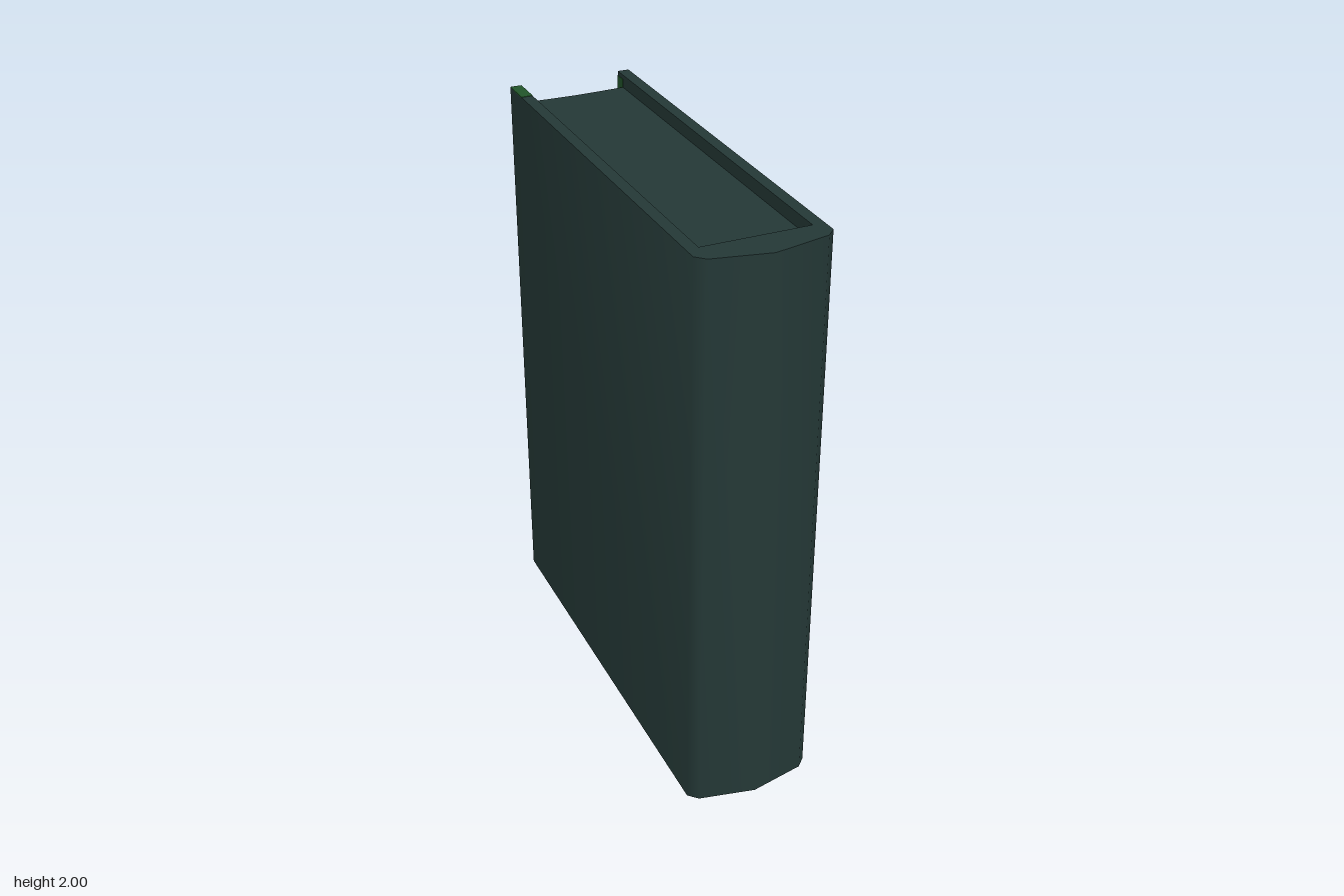
import * as THREE from 'three';
import { toCreasedNormals } from 'three/addons/utils/BufferGeometryUtils.js';

// Extrudes an outline of [x, z] points upwards from y0 to y1
function prism(points, y0, y1) {
  const shape = new THREE.Shape(points.map(([x, z]) => new THREE.Vector2(x, -z)));
  const geometry = new THREE.ExtrudeGeometry(shape, { depth: y1 - y0, bevelEnabled: false });
  geometry.rotateX(-Math.PI / 2).translate(0, y0, 0);
  return toCreasedNormals(geometry, THREE.MathUtils.degToRad(50));
}

export function createModel() {
  const book = new THREE.Group();
  book.name = 'book';

  const darkTeal = new THREE.MeshStandardMaterial({ color: 0x243836 });
  darkTeal.name = 'dark teal';
  const green = new THREE.MeshStandardMaterial({ color: 0x22552a });
  green.name = 'green';

  const add = (name, geometry, material) => {
    const mesh = new THREE.Mesh(geometry, material);
    mesh.name = name;
    book.add(mesh);
    return mesh;
  };

  // Both boards and the pointed spine, as one U-shaped outline
  const half = [[0.19, 0.73], [0.22, 0.7], [0.22, -0.77], [0.18, -0.77], [0.18, 0.65]];
  const mirrored = half.map(([x, z]) => [-x, z]).reverse();
  add('cover', prism([[0, 0.77], ...half, ...mirrored], 0, 2), darkTeal);

  // Page block, recessed at top and bottom, with a hollow fore edge
  add('pages', prism([
    [0.18, 0.65], [0.18, -0.727], [0.09, -0.723], [0, -0.72],
    [-0.09, -0.723], [-0.18, -0.727], [-0.18, 0.65],
  ], 0.045, 1.955), darkTeal);

  // Green marks: one on top of a board, one inside the opposite board
  add('topMark', new THREE.BoxGeometry(0.04, 0.004, 0.11), green).position.set(-0.2, 1.9995, -0.715);
  add('innerMark', new THREE.BoxGeometry(0.004, 0.13, 0.045), green).position.set(0.1795, 1.92, -0.7475);

  return book;
}
